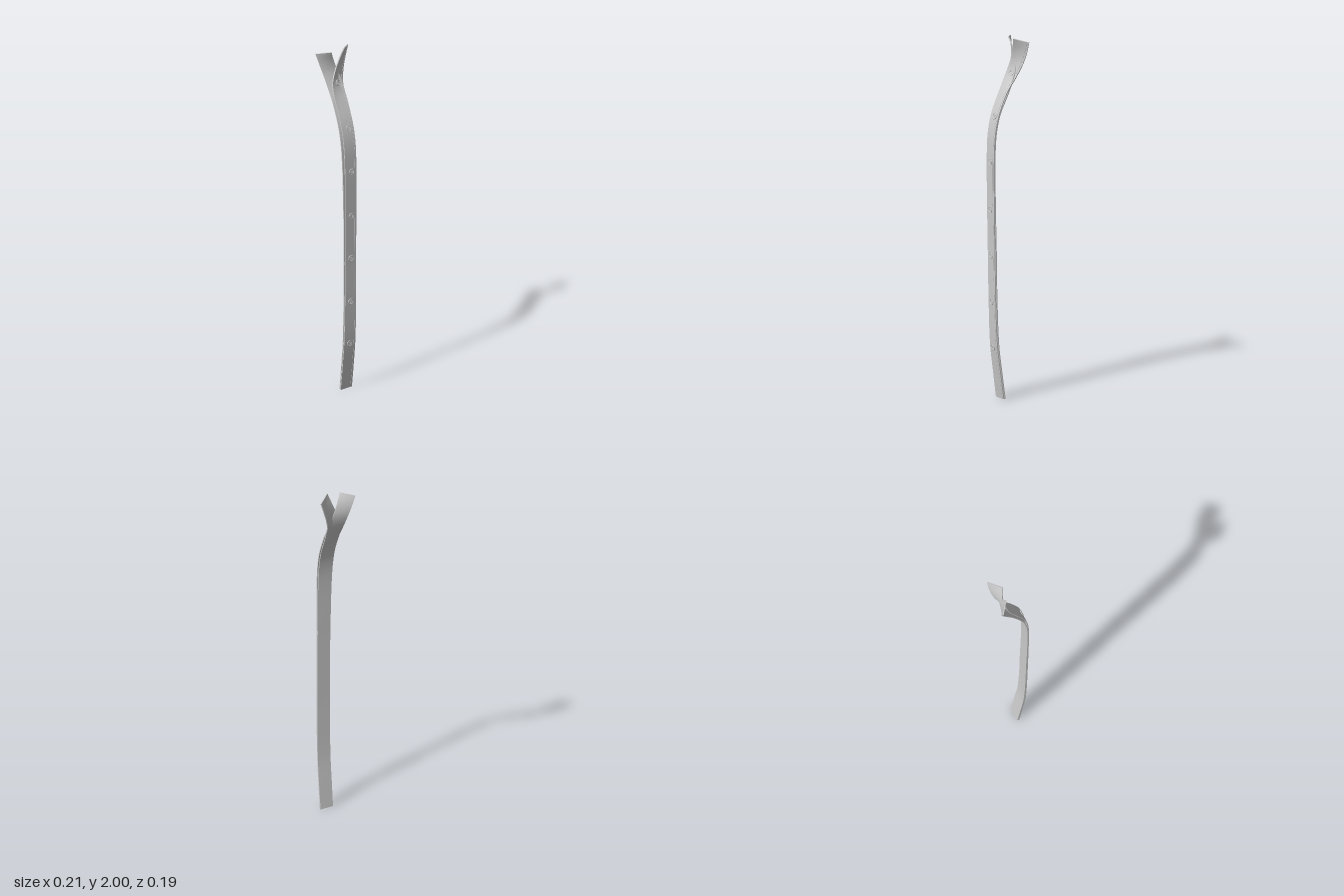
import * as THREE from 'three';
import { toCreasedNormals } from 'three/addons/utils/BufferGeometryUtils.js';

const ROWS = 90, COLS = 8;
const UP = new THREE.Vector3(0, 1, 0);

// Each key: [y, left x, left z, right x, right z, optional right y]
const FRONT = [
  [0, -0.03, 0.034, 0.045, 0.03], [0.15, -0.03, 0.053, 0.044, 0.05],
  [0.3, -0.031, 0.07, 0.042, 0.068], [0.55, -0.031, 0.079, 0.04, 0.078],
  [0.8, -0.032, 0.083, 0.038, 0.081], [1.1, -0.034, 0.087, 0.037, 0.085],
  [1.35, -0.037, 0.087, 0.037, 0.085], [1.48, -0.039, 0.079, 0.037, 0.077],
  [1.58, -0.04, 0.057, 0.037, 0.055], [1.7, -0.041, 0.007, 0.036, 0.004],
  [1.8, -0.036, -0.033, 0.042, -0.05, 1.785], [1.87, -0.013, -0.046, 0.062, -0.078, 1.855],
  [1.93, 0.011, -0.046, 0.082, -0.09, 1.915], [1.998, 0.036, -0.034, 0.103, -0.094, 1.983],
];
const BACK = [
  [0, -0.03, 0.027, 0.047, 0.023], [0.15, -0.032, 0.046, 0.046, 0.043],
  [0.3, -0.033, 0.063, 0.044, 0.061], [0.55, -0.035, 0.072, 0.042, 0.071],
  [0.8, -0.036, 0.076, 0.04, 0.074], [1.1, -0.042, 0.08, 0.036, 0.078],
  [1.35, -0.048, 0.079, 0.033, 0.078], [1.48, -0.051, 0.07, 0.032, 0.069],
  [1.58, -0.052, 0.048, 0.032, 0.047], [1.7, -0.052, -0.004, 0.034, -0.006],
  [1.775, -0.054, -0.047, 0.032, -0.045, 1.8], [1.85, -0.066, -0.077, 0.012, -0.062, 1.87],
  [1.91, -0.083, -0.09, -0.01, -0.06, 1.93], [1.98, -0.105, -0.096, -0.036, -0.045, 1.992],
];

// Ruled cloth surface between two smooth edge curves
function makeSurface(keys) {
  const left = new THREE.CatmullRomCurve3(keys.map(k => new THREE.Vector3(k[1], k[0], k[2])));
  const right = new THREE.CatmullRomCurve3(keys.map(k => new THREE.Vector3(k[3], k[5] ?? k[0], k[4])));
  const point = (u, v) => left.getPoint(v).lerp(right.getPoint(v), u);
  const normal = (u, v) => {
    const across = right.getPoint(v).sub(left.getPoint(v));
    const along = point(u, Math.min(1, v + 0.002)).sub(point(u, Math.max(0, v - 0.002)));
    return across.cross(along).normalize();
  };
  return { point, normal };
}

// Closed thin band swept along the surface
function bandGeometry(surface, half) {
  const pos = [], index = [], n = 2 * (COLS + 1);
  for (let j = 0; j <= ROWS; j++) {
    for (let i = 0; i < n; i++) {
      const front = i <= COLS;
      const u = (front ? i : n - 1 - i) / COLS, v = j / ROWS;
      const p = surface.point(u, v).addScaledVector(surface.normal(u, v), front ? half : -half);
      pos.push(p.x, p.y, p.z);
    }
  }
  for (let j = 0; j < ROWS; j++) {
    for (let i = 0; i < n; i++) {
      const a = j * n + i, b = j * n + (i + 1) % n;
      index.push(a, b, b + n, a, b + n, a + n);
    }
  }
  // End caps
  const t = ROWS * n;
  for (let i = 0; i < COLS; i++) {
    const c = n - 2 - i, d = n - 1 - i;
    index.push(i, c, i + 1, i, d, c);
    index.push(t + i, t + i + 1, t + c, t + i, t + c, t + d);
  }
  const g = new THREE.BufferGeometry();
  g.setAttribute('position', new THREE.Float32BufferAttribute(pos, 3));
  g.setIndex(index);
  return toCreasedNormals(g, 0.7);
}

// Four-hole button with a raised rim, facing +z
function makeButton(material) {
  const button = new THREE.Group();
  const shape = new THREE.Shape().absarc(0, 0, 0.016, 0, Math.PI * 2);
  for (const x of [-1, 1]) for (const y of [-1, 1]) {
    shape.holes.push(new THREE.Path().absarc(x * 0.004, y * 0.004, 0.002, 0, Math.PI * 2, true));
  }
  const disc = new THREE.Mesh(new THREE.ExtrudeGeometry(shape,
    { depth: 0.003, bevelEnabled: false, curveSegments: 10 }), material);
  disc.name = 'buttonDisc';
  const rim = new THREE.Mesh(new THREE.TorusGeometry(0.0155, 0.0024, 8, 28), material);
  rim.position.z = 0.0025;
  rim.name = 'buttonRim';
  button.add(disc, rim);
  return button;
}

export function createModel() {
  const model = new THREE.Group();
  model.name = 'buttonPlacket';
  const material = new THREE.MeshStandardMaterial({ color: 0xcccccc });
  const front = makeSurface(FRONT), back = makeSurface(BACK);

  // Two overlapping cloth bands that part at the collar
  for (const [name, surface] of [['frontBand', front], ['backBand', back]]) {
    const band = new THREE.Mesh(bandGeometry(surface, 0.003), material);
    band.name = name;
    model.add(band);
  }

  // Stitched seam near the outer edge of the front band
  const seamPoints = [];
  for (let j = 0; j <= 60; j++) {
    const v = j / 60;
    seamPoints.push(front.point(0.86, v).addScaledVector(front.normal(0.86, v), 0.003));
  }
  const seam = new THREE.Mesh(
    new THREE.TubeGeometry(new THREE.CatmullRomCurve3(seamPoints), 160, 0.001, 5), material);
  seam.name = 'seam';
  model.add(seam);

  // Buttons, each lying flat on the cloth
  [0.285, 0.54, 0.8, 1.055, 1.32, 1.57, 1.8].forEach((y, i) => {
    let lo = 0, hi = 1;
    for (let k = 0; k < 30; k++) {
      const mid = (lo + hi) / 2;
      if (front.point(0.5, mid).y < y) lo = mid; else hi = mid;
    }
    const n = front.normal(0.5, lo), p = front.point(0.5, lo);
    const side = new THREE.Vector3().crossVectors(UP, n).normalize();
    const button = makeButton(material);
    button.name = 'button' + (i + 1);
    button.quaternion.setFromRotationMatrix(
      new THREE.Matrix4().makeBasis(side, new THREE.Vector3().crossVectors(n, side), n));
    button.position.copy(p).addScaledVector(n, 0.003);
    button.position.x = 0.003;
    model.add(button);
  });

  return model;
}
